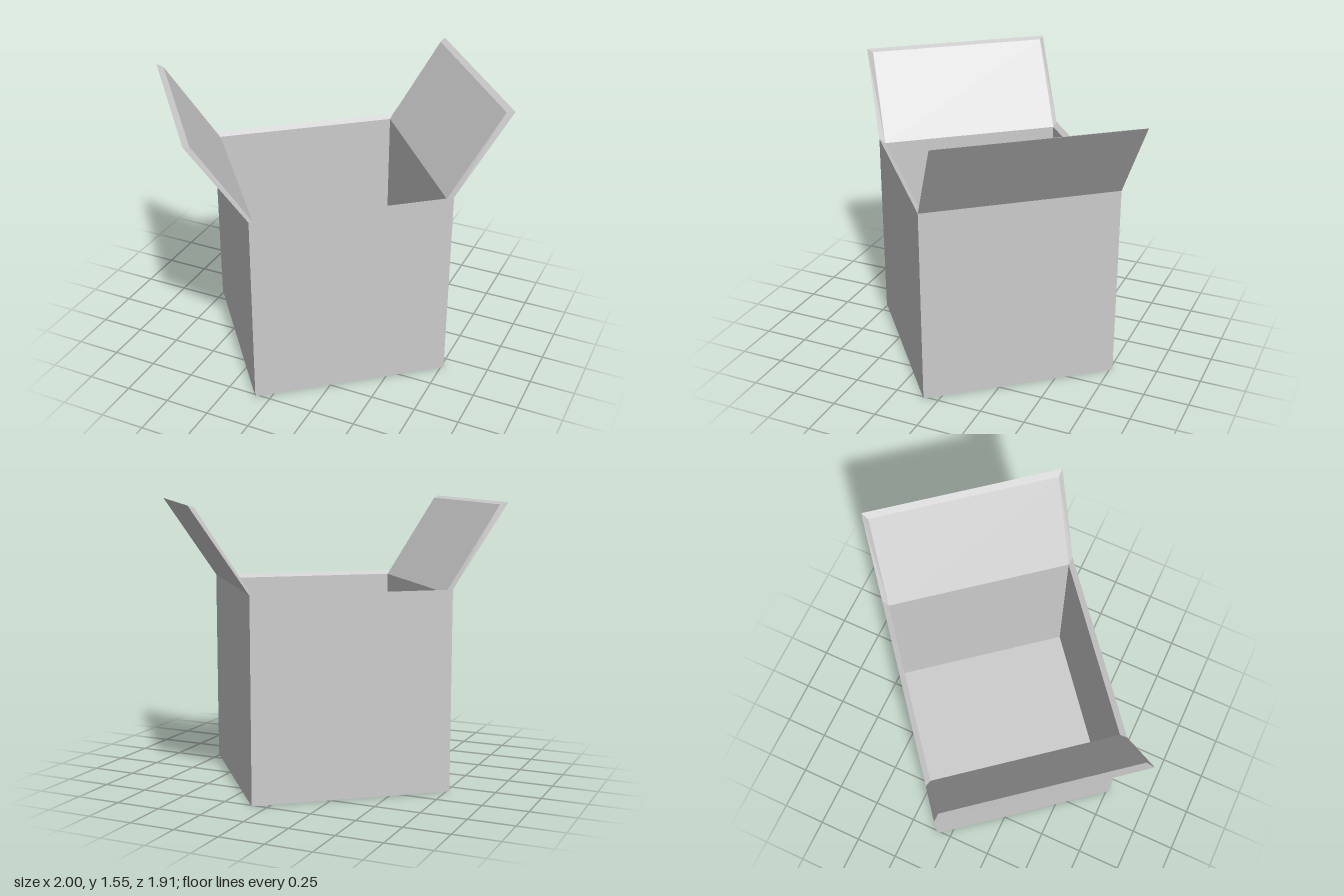
import * as THREE from 'three';

const W = 0.544, H = 1.1;            // outer half width and wall height
const I = 0.515, F = 0.03, R = 1.08; // inner half width, floor level and rim level
const T = 0.847, Y = 1.555;          // flap tip

const material = new THREE.MeshStandardMaterial({ color: 0xcccccc, flatShading: true });

// Plate with an outer face, an inset inner face and bevelled rims on its free edges.
// Corners run counter-clockwise as seen from outside.
function panel(name, outer, inner, freeEdges = []) {
  const quads = [outer, [...inner].reverse()];
  for (const i of freeEdges) {
    const j = (i + 1) % 4;
    quads.push([outer[j], outer[i], inner[i], inner[j]]);
  }
  const points = quads.flatMap(([a, b, c, d]) => [a, b, c, a, c, d]).flat();
  const geometry = new THREE.BufferGeometry();
  geometry.setAttribute('position', new THREE.Float32BufferAttribute(points, 3));
  geometry.computeVertexNormals();
  const mesh = new THREE.Mesh(geometry, material);
  mesh.name = name;
  return mesh;
}

export function createModel() {
  const box = new THREE.Group();
  box.name = 'openBox';

  // Floor
  const floorCorners = (w, y) => [[-w, y, -w], [w, y, -w], [w, y, w], [-w, y, w]];
  box.add(panel('floor', floorCorners(W, 0), floorCorners(I, F)));

  // Each half holds a plain wall, a hinged wall and its flap; the second is turned half round
  const plainWall = (w, y0, y1) => [[-w, y0, w], [w, y0, w], [w, y1, w], [-w, y1, w]];
  const sidePlate = (x0, y0, x1, y1, w) => [[x0, y0, w], [x0, y0, -w], [x1, y1, -w], [x1, y1, w]];
  for (const [side, wall] of [['left', 'front'], ['right', 'back']]) {
    const half = new THREE.Group();
    half.name = side + 'Half';
    half.add(
      panel(wall + 'Wall', plainWall(W, 0, H), plainWall(I, F, R), [2]),
      panel(side + 'Wall', sidePlate(W, 0, W, H, W), sidePlate(I, F, I, R, I)),
      panel(side + 'Flap', sidePlate(W, H, T, Y, W), sidePlate(I, R, T - 0.036, Y - 0.012, I), [1, 2, 3])
    );
    half.rotation.y = side === 'left' ? 0 : Math.PI;
    box.add(half);
  }

  // The box stands turned on the ground
  box.rotation.y = THREE.MathUtils.degToRad(39);
  const model = new THREE.Group();
  model.name = 'model';
  model.add(box);
  return model;
}
